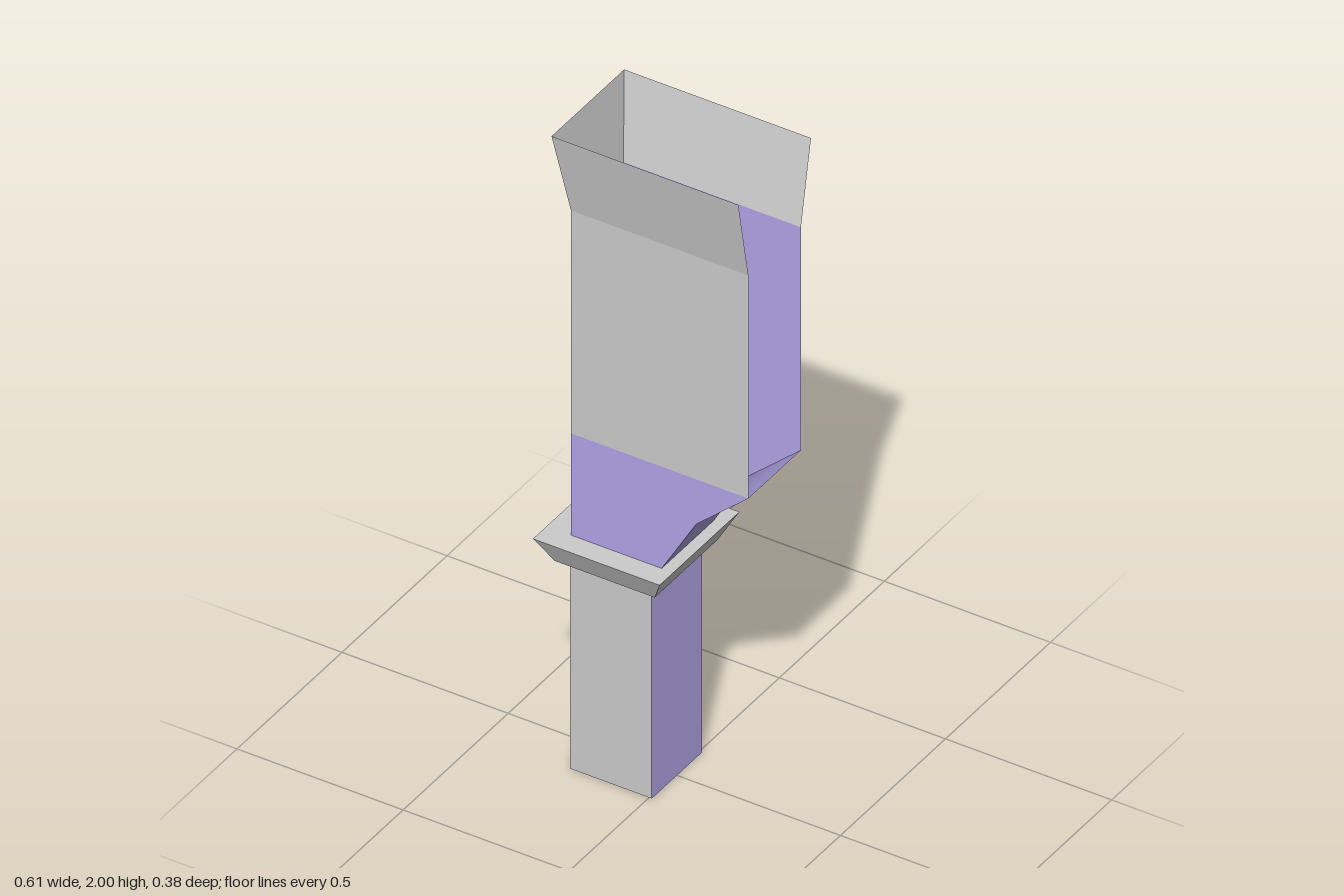
import * as THREE from 'three';

const grey = new THREE.MeshStandardMaterial({ color: 0xcccccc, side: THREE.DoubleSide });
const violet = new THREE.MeshStandardMaterial({ color: 0xb0a3e6, side: THREE.DoubleSide });

// Thin sheet through rows of two points, from bottom to top; smooth along its length
function sheet(name, material, rows) {
  const index = [];
  for (let i = 0; i < rows.length - 1; i++) {
    const a = i * 2;
    index.push(a, a + 1, a + 3, a, a + 3, a + 2);
  }
  const geometry = new THREE.BufferGeometry();
  geometry.setAttribute('position', new THREE.Float32BufferAttribute(rows.flat(2), 3));
  geometry.setIndex(index);
  geometry.computeVertexNormals();
  const mesh = new THREE.Mesh(geometry, material);
  mesh.name = name;
  return mesh;
}

// Rectangular cross-section: corners run front left side, then round to the back
const section = (y, x0, x1, z) => [[x0, y, z], [x1, y, z], [x1, y, -z], [x0, y, -z]];

// Walls between two sections; one material per side (front, +x, back, -x), null leaves it open
function walls(name, lower, upper, materials) {
  const group = new THREE.Group();
  group.name = name;
  const sides = ['Front', 'Left', 'Back', 'Right'];
  materials.forEach((material, i) => {
    if (!material) return;
    const j = (i + 1) % 4;
    group.add(sheet(name + sides[i], material, [[lower[i], lower[j]], [upper[i], upper[j]]]));
  });
  return group;
}

export function createModel() {
  const model = new THREE.Group();
  model.name = 'chute';
  const allGrey = [grey, grey, grey, grey];

  const shaftBottom = section(0, -0.238, 0.008, 0.12);
  const shaftTop = section(0.657, -0.238, 0.008, 0.12);
  const collarBottom = section(0.657, -0.265, 0.036, 0.15);
  const collarTop = section(0.735, -0.305, 0.076, 0.19);
  const throat = section(0.735, -0.232, 0.041, 0.125);
  const bodyBottom = section(1.053, -0.232, 0.302, 0.125);
  const bodyTop = section(1.75, -0.232, 0.302, 0.125);
  const mouth = section(2, -0.26, 0.302, 0.173);

  // Square downpipe, open at both ends
  model.add(walls('shaft', shaftBottom, shaftTop, [grey, violet, grey, violet]));

  // Hollow flared collar: underside, sloping rim and top
  model.add(walls('collarUnderside', shaftTop, collarBottom, allGrey));
  model.add(walls('collarRim', collarBottom, collarTop, allGrey));
  model.add(walls('collarTop', collarTop, throat, allGrey));

  // Hopper: bent ramp on +x, two side walls following it, and a flat end wall
  const ramp = [[0.041, 0.735], [0.145, 0.913], [0.302, 1.053]];
  model.add(sheet('ramp', violet, ramp.map(([x, y]) => [[x, y, 0.125], [x, y, -0.125]])));
  model.add(sheet('hopperFront', violet, ramp.map(([x, y]) => [[-0.232, y, 0.125], [x, y, 0.125]])));
  model.add(sheet('hopperBack', violet, ramp.map(([x, y]) => [[x, y, -0.125], [-0.232, y, -0.125]])));
  model.add(walls('hopperEnd', throat, bodyBottom, [null, null, null, violet]));

  // Three-sided body and flared mouth, open on +x
  model.add(walls('body', bodyBottom, bodyTop, [grey, null, violet, grey]));
  model.add(walls('mouth', bodyTop, mouth, [grey, null, grey, grey]));
  return model;
}
